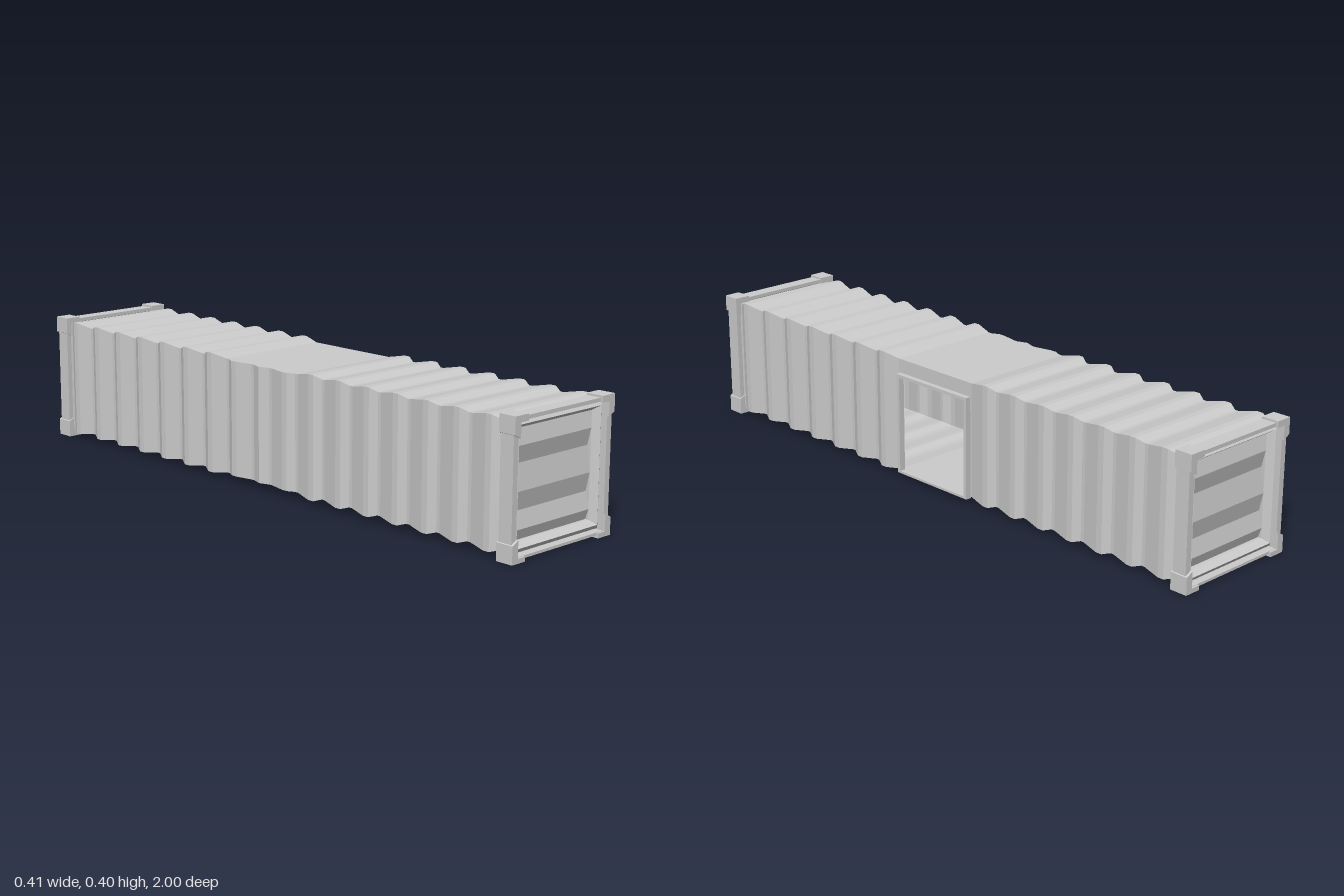
import * as THREE from 'three';

const material = new THREE.MeshStandardMaterial({ color: 0xcccccc, flatShading: true, side: THREE.DoubleSide });

function addMesh(parent, name, geometry) {
  const mesh = new THREE.Mesh(geometry, material);
  mesh.name = name;
  parent.add(mesh);
  return mesh;
}

// Flat-shaded surface from a list of four-cornered faces
function quadGeometry(quads) {
  const pos = [];
  for (const [a, b, c, d] of quads) pos.push(...a, ...b, ...c, ...a, ...c, ...d);
  const g = new THREE.BufferGeometry();
  g.setAttribute('position', new THREE.Float32BufferAttribute(pos, 3));
  g.computeVertexNormals();
  return g;
}

function rectPath(path, x0, y0, x1, y1) {
  path.moveTo(x0, y0);
  path.lineTo(x1, y0);
  path.lineTo(x1, y1);
  path.lineTo(x0, y1);
  path.closePath();
  return path;
}

function extrude(shape, depth, z) {
  return new THREE.ExtrudeGeometry(shape, { depth, bevelEnabled: false }).translate(0, 0, z);
}

// Corrugation: long slope rising outward, short crest, steep drop; mirrored about z = 0
const PITCH = 0.113, START = 0.147, END = 0.95;
const KEYS = [[0, 0], [0.1, 0], [0.6, 1], [0.78, 1], [1, 0]];
function wave(z) {
  const p = (Math.abs(z) - START) / PITCH + 2;
  const f = p - Math.floor(p);
  for (let i = 1; i < KEYS.length; i++) {
    const [p0, v0] = KEYS[i - 1], [p1, v1] = KEYS[i];
    if (f <= p1) return v0 + (v1 - v0) * (f - p0) / (p1 - p0);
  }
  return 0;
}

const DOOR = { z: 0.145, top: 0.33, bottom: 0.022 };

function buildShell(group) {
  const half = [0, DOOR.z, END];
  for (let n = -1; n < 7; n++)
    for (const [k] of KEYS.slice(0, 4)) half.push(START + (n + k) * PITCH);
  half.push(START + 7 * PITCH);
  const zs = [...new Set(half.flatMap(z => [z, -z]).map(z => +z.toFixed(4) + 0))].sort((a, b) => a - b);

  // Rectangular section at each station; the middle bay is flat except on the -x wall
  const rings = zs.map(z => {
    const w = wave(z), flat = Math.abs(z) < START - 1e-3 ? 0 : w;
    const l = -0.187 - 0.012 * w, r = 0.187 + 0.011 * flat;
    const b = 0.024 - 0.008 * flat, t = 0.379 + 0.011 * flat;
    return [[l, b, z], [r, b, z], [r, t, z], [l, t, z]];
  });
  const walls = { floor: [], doorWall: [], roof: [], plainWall: [] };
  const names = Object.keys(walls);
  for (let i = 0; i + 1 < rings.length; i++) {
    const p = rings[i], q = rings[i + 1];
    names.forEach((name, k) => {
      const n = (k + 1) % 4;
      let a = p[k], d = q[k];
      // Leave the doorway open, keeping the strip above it
      if (name === 'doorWall' && Math.abs(zs[i] + zs[i + 1]) / 2 < DOOR.z) {
        a = [a[0], DOOR.top, a[2]];
        d = [d[0], DOOR.top, d[2]];
      }
      walls[name].push([a, p[n], q[n], d]);
    });
  }
  for (const name of names) addMesh(group, name, quadGeometry(walls[name]));
}

function buildDoorFrame(group) {
  const shape = rectPath(new THREE.Shape(), -0.152, 0.019, 0.152, 0.336);
  shape.holes.push(rectPath(new THREE.Path(), -0.141, 0.026, 0.141, 0.326));
  const g = extrude(shape, 0.019, 0.185);
  g.rotateY(Math.PI / 2);
  addMesh(group, 'doorFrame', g);
}

// Corner block with a slanted lip running onto the post
function cornerGeometry(top) {
  const pts = top
    ? [[0.205, 0.4], [0.153, 0.4], [0.153, 0.381], [0.182, 0.381], [0.182, 0.338], [0.205, 0.35]]
    : [[0.205, 0], [0.153, 0], [0.153, 0.014], [0.182, 0.014], [0.182, 0.064], [0.205, 0.052]];
  return extrude(new THREE.Shape(pts.map(p => new THREE.Vector2(...p))), 0.056, 0.944);
}

function buildEnd() {
  const end = new THREE.Group();

  // Posts and beams around the opening
  const shape = rectPath(new THREE.Shape(), -0.202, 0.007, 0.202, 0.394);
  shape.holes.push(rectPath(new THREE.Path(), -0.183, 0.015, 0.183, 0.383));
  addMesh(end, 'endFrame', extrude(shape, 0.045, 0.948));

  // Ridged rim, sloping up from the frame and down to the panel
  const loop = (x, y0, y1, z) => [[-x, y0, z], [x, y0, z], [x, y1, z], [-x, y1, z]];
  const loops = [loop(0.187, 0.013, 0.385, 0.95), loop(0.181, 0.019, 0.381, 0.974),
    loop(0.169, 0.032, 0.369, 0.983), loop(0.155, 0.045, 0.355, 0.962), loop(0.155, 0.045, 0.355, 0.948)];
  const rim = [];
  for (let i = 0; i + 1 < loops.length; i++)
    for (let k = 0; k < 4; k++) {
      const n = (k + 1) % 4;
      rim.push([loops[i][k], loops[i][n], loops[i + 1][n], loops[i + 1][k]]);
    }
  addMesh(end, 'panelRim', quadGeometry(rim));

  // Panel with horizontal folds
  const folds = [[0.04, 0.95], [0.075, 0.962], [0.125, 0.95], [0.18, 0.962], [0.255, 0.95], [0.305, 0.962], [0.36, 0.95]];
  const panel = [];
  for (let i = 0; i + 1 < folds.length; i++) {
    const [y0, z0] = folds[i], [y1, z1] = folds[i + 1];
    panel.push([[-0.157, y0, z0], [0.157, y0, z0], [0.157, y1, z1], [-0.157, y1, z1]]);
  }
  addMesh(end, 'endPanel', quadGeometry(panel));

  for (const top of [true, false])
    for (const turn of [0, 1]) {
      const g = cornerGeometry(top);
      // Turning about the block's own middle plane mirrors it to the other side
      if (turn) g.translate(0, 0, -0.972).rotateY(Math.PI).translate(0, 0, 0.972);
      addMesh(end, (top ? 'top' : 'bottom') + 'CornerBlock', g);
    }
  return end;
}

export function createModel() {
  const model = new THREE.Group();
  model.name = 'cargoContainer';
  buildShell(model);
  buildDoorFrame(model);
  ['frontEnd', 'backEnd'].forEach((name, i) => {
    const end = buildEnd();
    end.name = name;
    end.rotation.y = i * Math.PI;
    model.add(end);
  });
  return model;
}
